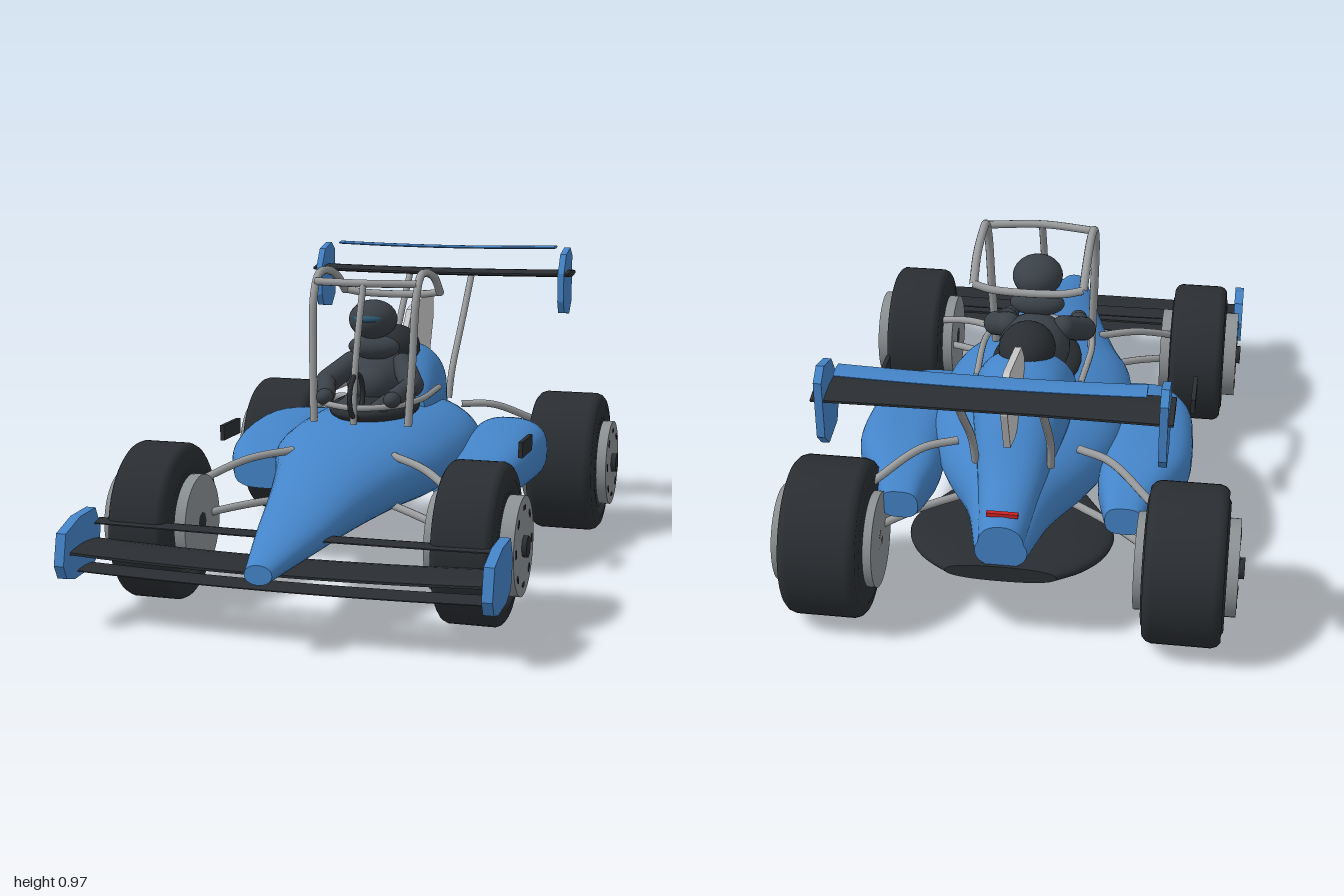
import * as THREE from 'three';

const mat = (color, opts = {}) => new THREE.MeshStandardMaterial({ color, ...opts });
const BLUE = mat(0x4484c8), DARK = mat(0x2a2e32), SUIT = mat(0x3a4148), TUBE = mat(0x9a9c9e);
const RIM = mat(0x8c9194), FIN = mat(0xcccccc), RED = mat(0xcc2222), VISOR = mat(0x2c5870);
const TYRE = mat(0x2a2e32, { side: THREE.DoubleSide });
const V = (x, y, z) => new THREE.Vector3(x, y, z);

function add(parent, name, geometry, material, x = 0, y = 0, z = 0) {
  const mesh = new THREE.Mesh(geometry, material);
  mesh.name = name;
  mesh.position.set(x, y, z);
  parent.add(mesh);
  return mesh;
}

// Smooth skin over super-elliptic sections: rows of [z, centreX, halfWidth, bottom, top], front to back
function loft(rows, power = 2, steps = 40, sides = 40) {
  const plan = new THREE.CatmullRomCurve3(rows.map(r => V(r[0], r[1], r[2])), false, 'catmullrom');
  const side = new THREE.CatmullRomCurve3(rows.map(r => V(r[3], r[4], 0)), false, 'catmullrom');
  const pos = [], idx = [];
  const bend = v => Math.sign(v) * Math.abs(v) ** (2 / power);
  const ring = t => {
    const p = plan.getPoint(t), s = side.getPoint(t);
    for (let j = 0; j < sides; j++) {
      const a = j / sides * Math.PI * 2;
      pos.push(p.y + p.z * bend(Math.cos(a)), (s.x + s.y) / 2 + (s.y - s.x) / 2 * bend(Math.sin(a)), p.x);
    }
    return [p.y, (s.x + s.y) / 2, p.x];
  };
  for (let i = 0; i <= steps; i++) ring(i / steps);
  for (let i = 0; i < steps; i++) for (let j = 0; j < sides; j++) {
    const k = (j + 1) % sides, a = i * sides, b = a + sides;
    idx.push(a + j, b + j, a + k, a + k, b + j, b + k);
  }
  for (const end of [0, 1]) {
    const base = pos.length / 3;
    pos.push(...ring(end));
    for (let j = 0; j < sides; j++) {
      const p = base + j, q = base + (j + 1) % sides;
      idx.push(base + sides, end ? q : p, end ? p : q);
    }
  }
  const g = new THREE.BufferGeometry();
  g.setAttribute('position', new THREE.Float32BufferAttribute(pos, 3));
  g.setIndex(idx);
  g.computeVertexNormals();
  return g;
}

const tube = (points, r = 0.012) => new THREE.TubeGeometry(
  new THREE.CatmullRomCurve3(points.map(p => V(...p)), false, 'centripetal'), points.length * 8, r, 10);

function ball(parent, name, material, x, y, z, rx, ry, rz) {
  add(parent, name, new THREE.SphereGeometry(1, 28, 18), material, x, y, z).scale.set(rx, ry, rz);
}

function limb(parent, name, a, b, r) {
  const p = V(...a), q = V(...b);
  const m = add(parent, name, new THREE.CapsuleGeometry(r, p.distanceTo(q), 6, 16), SUIT);
  m.position.copy(p).add(q).multiplyScalar(0.5);
  m.quaternion.setFromUnitVectors(V(0, 1, 0), q.sub(p).normalize());
}

// Flat plate in the side plane from [z, y] corners
function plate(points, thick) {
  const shape = new THREE.Shape(points.map(([z, y]) => new THREE.Vector2(-z, y)));
  const g = new THREE.ExtrudeGeometry(shape, { depth: thick, bevelEnabled: false });
  return g.translate(0, 0, -thick / 2).rotateY(Math.PI / 2);
}

// Gently bowed, swept wing with thin front and rear edges
function wing(width, thick, chord, bow, sweep) {
  const g = new THREE.BoxGeometry(width, thick, chord, 24, 1, 6), p = g.attributes.position;
  for (let i = 0; i < p.count; i++) {
    const u = (p.getX(i) / width * 2) ** 2, c = p.getZ(i) / chord * 2;
    p.setY(i, p.getY(i) * (1.1 - 0.8 * c * c) + bow * u);
    p.setZ(i, p.getZ(i) - sweep * u);
  }
  g.computeVertexNormals();
  return g;
}

// Wheel built around its axle; x values measured from the car centre line
function wheel(name, s, z, mid, half, inner, outer, hubEnd, r) {
  const g = new THREE.Group();
  g.name = name;
  const profile = [[0.142, -1], [0.19, -1], [0.2, -0.95], [0.222, -0.95], [0.234, -0.86], [0.24, -0.72], [0.24, 0.72],
    [0.234, 0.86], [0.222, 0.95], [0.2, 0.95], [0.19, 1], [0.142, 1], [0.142, -1]]
    .map(([a, b]) => new THREE.Vector2(a * r / 0.24, b * half));
  const axle = (n, geo, m, x) => add(g, n, geo.rotateZ(-Math.PI / 2), m, x * s);
  axle('tyre', new THREE.LatheGeometry(profile, 56), TYRE, mid);
  axle('rim', new THREE.CylinderGeometry(0.145, 0.145, outer - inner, 40), RIM, (outer + inner) / 2);
  axle('hub', new THREE.CylinderGeometry(0.032, 0.032, hubEnd - inner, 8), DARK, (hubEnd + inner) / 2);
  for (let i = 0; i < 8; i++) {
    const a = i * Math.PI / 4;
    const m = add(g, 'rimSlot', new THREE.BoxGeometry(0.004, 0.012, 0.024), DARK,
      s * outer, Math.cos(a) * 0.112, Math.sin(a) * 0.112);
    m.rotation.x = a;
  }
  g.scale.z = 0.925;
  g.position.set(0, r, z);
  return g;
}

export function createModel() {
  const car = new THREE.Group();
  car.name = 'raceCar';

  // Bodywork
  add(car, 'body', loft([
    [1, 0, 0.04, 0.2, 0.255], [0.75, 0, 0.1, 0.212, 0.33], [0.5, 0, 0.155, 0.22, 0.405], [0.25, 0, 0.225, 0.225, 0.46],
    [0.1, 0, 0.28, 0.225, 0.49], [-0.05, 0, 0.3, 0.225, 0.5], [-0.2, 0, 0.303, 0.225, 0.505], [-0.35, 0, 0.285, 0.225, 0.51],
    [-0.5, 0, 0.22, 0.225, 0.49], [-0.65, 0, 0.13, 0.235, 0.45], [-0.84, 0, 0.075, 0.27, 0.38]], 2.1, 60), BLUE);
  add(car, 'engineCover', loft([
    [-0.2, 0, 0.13, 0.42, 0.56], [-0.28, 0, 0.15, 0.4, 0.665], [-0.39, 0, 0.15, 0.4, 0.685], [-0.47, 0, 0.135, 0.38, 0.645],
    [-0.55, 0, 0.115, 0.36, 0.585], [-0.62, 0, 0.1, 0.34, 0.52], [-0.7, 0, 0.085, 0.31, 0.465],
    [-0.84, 0, 0.065, 0.29, 0.41]], 2.2), BLUE);
  add(car, 'tailLight', new THREE.BoxGeometry(0.09, 0.012, 0.014), RED, 0, 0.426, -0.8);
  add(car, 'diffuser', loft([
    [-0.4, 0, 0.2, 0.21, 0.25], [-0.5, 0, 0.26, 0.2, 0.26], [-0.6, 0, 0.3, 0.195, 0.27], [-0.7, 0, 0.285, 0.2, 0.28],
    [-0.78, 0, 0.235, 0.21, 0.28], [-0.85, 0, 0.16, 0.23, 0.28]], 2.4), DARK);
  add(car, 'engineFin', plate([[-0.42, 0.67], [-0.42, 0.72], [-0.47, 0.78], [-0.69, 0.825], [-0.75, 0.8], [-0.75, 0.72],
    [-0.7, 0.585], [-0.6, 0.56], [-0.5, 0.58]], 0.02), FIN);

  // Cockpit and driver
  ball(car, 'cockpitTub', DARK, 0, 0.51, -0.07, 0.14, 0.045, 0.2);
  ball(car, 'headrest', DARK, 0, 0.675, -0.29, 0.085, 0.075, 0.1);
  add(car, 'steeringWheel', new THREE.TorusGeometry(0.068, 0.008, 10, 36).rotateY(Math.PI / 2), DARK, 0, 0.575, 0.13);
  const driver = new THREE.Group();
  driver.name = 'driver';
  car.add(driver);
  ball(driver, 'torso', SUIT, 0, 0.59, -0.13, 0.11, 0.1, 0.12);
  ball(driver, 'belly', SUIT, 0, 0.585, -0.06, 0.072, 0.065, 0.07);
  ball(driver, 'collar', SUIT, 0, 0.705, -0.06, 0.085, 0.04, 0.045);
  ball(driver, 'helmet', SUIT, 0, 0.795, -0.05, 0.077, 0.062, 0.083);
  ball(driver, 'visor', VISOR, 0, 0.802, -0.038, 0.067, 0.025, 0.075);

  for (const s of [1, -1]) {
    limb(driver, 'upperArm', [s * 0.085, 0.645, -0.1], [s * 0.14, 0.595, -0.01], 0.038);
    limb(driver, 'forearm', [s * 0.14, 0.595, 0], [s * 0.115, 0.57, 0.08], 0.03);
    ball(driver, 'hand', SUIT, s * 0.11, 0.565, 0.11, 0.027, 0.025, 0.032);
    limb(driver, 'leg', [s * 0.06, 0.53, -0.08], [s * 0.055, 0.52, 0.06], 0.035);

    // Side pod and its mirror plate
    add(car, 'sidePod', loft([
      [0.08, s * 0.33, 0.1, 0.25, 0.355], [-0.05, s * 0.36, 0.125, 0.245, 0.39], [-0.2, s * 0.372, 0.132, 0.24, 0.42],
      [-0.38, s * 0.372, 0.132, 0.24, 0.43], [-0.5, s * 0.35, 0.11, 0.25, 0.42], [-0.59, s * 0.335, 0.075, 0.26, 0.4],
      [-0.65, s * 0.33, 0.055, 0.28, 0.37]], 2.8), BLUE);
    add(car, 'mirrorPlate', new THREE.BoxGeometry(0.014, 0.05, 0.145), DARK, s * 0.497, 0.41, -0.06);

    // Wheels and suspension
    car.add(wheel('frontWheel', s, 0.515, 0.485, 0.092, 0.36, 0.618, 0.632, 0.236));
    car.add(wheel('rearWheel', s, -0.712, 0.518, 0.118, 0.375, 0.668, 0.685, 0.24));
    for (const [n, pts] of [
      ['frontUpperArm', [[0.16, 0.42, 0.26], [0.28, 0.4, 0.34], [0.41, 0.34, 0.44]]],
      ['frontLowerArm', [[0.14, 0.28, 0.28], [0.28, 0.265, 0.38], [0.41, 0.24, 0.46]]],
      ['rearUpperArm', [[0.18, 0.46, -0.49], [0.28, 0.455, -0.54], [0.41, 0.39, -0.64]]],
      ['rearLowerArm', [[0.15, 0.28, -0.5], [0.28, 0.27, -0.58], [0.42, 0.24, -0.67]]],
    ]) add(car, n, tube(pts.map(([x, y, z]) => [s * x, y, z]), 0.012), TUBE);

    // Wing end plates and struts
    add(car, 'frontEndPlate', plate([[0.95, 0.19], [0.93, 0.28], [0.84, 0.31], [0.74, 0.315], [0.71, 0.25], [0.73, 0.17],
      [0.78, 0.145], [0.88, 0.138], [0.93, 0.15]], 0.03), BLUE, s * 0.615);
    add(car, 'rearEndPlate', plate([[-0.84, 0.88], [-0.88, 0.945], [-0.955, 0.965], [-0.995, 0.935], [-0.995, 0.77],
      [-0.955, 0.728], [-0.86, 0.74], [-0.84, 0.78]], 0.022), BLUE, s * 0.45);
    add(car, 'wingStrut', tube([[s * 0.11, 0.46, -0.59], [s * 0.113, 0.55, -0.62], [s * 0.115, 0.72, -0.76],
      [s * 0.115, 0.87, -0.89]], 0.012), TUBE);

    // Roll cage side
    add(car, 'cageSide', tube([[s * 0.155, 0.48, 0.085], [s * 0.163, 0.7, 0.065], [s * 0.167, 0.87, 0.045],
      [s * 0.167, 0.935, 0], [s * 0.165, 0.945, -0.06], [s * 0.165, 0.92, -0.18], [s * 0.163, 0.862, -0.265]], 0.013), TUBE);
  }

  // Roll cage cross members
  add(car, 'cageFrontBar', tube([[-0.165, 0.918, 0.03], [0, 0.918, 0.055], [0.165, 0.918, 0.03]]), TUBE);
  add(car, 'cageRearBar', tube([[-0.163, 0.865, -0.265], [-0.1, 0.855, -0.275], [0.1, 0.855, -0.275], [0.163, 0.865, -0.265]]), TUBE);
  add(car, 'cageCentrePost', tube([[0, 0.49, 0.158], [0, 0.62, 0.15], [0, 0.8, 0.1], [0, 0.918, 0.055]], 0.011), TUBE);
  add(car, 'cockpitRail', tube([[-0.16, 0.55, -0.27], [-0.165, 0.55, 0], [-0.12, 0.545, 0.1], [0, 0.54, 0.15],
    [0.12, 0.545, 0.1], [0.165, 0.55, 0], [0.16, 0.55, -0.27]], 0.01), TUBE);

  // Wings
  add(car, 'frontWing', wing(1.22, 0.024, 0.185, 0.008, 0.022), DARK, 0, 0.21, 0.838);
  add(car, 'frontWingLower', wing(1.22, 0.01, 0.1, 0.006, 0.015), DARK, 0, 0.151, 0.83);
  add(car, 'frontWingFlap', wing(1.22, 0.012, 0.07, 0.004, 0), DARK, 0, 0.266, 0.715);
  add(car, 'rearWing', wing(0.95, 0.022, 0.14, 0.004, 0.012), DARK, 0, 0.872, -0.905);
  add(car, 'rearWingFlap', wing(0.81, 0.01, 0.062, 0.007, 0), BLUE, 0, 0.957, -0.968);
  return car;
}
